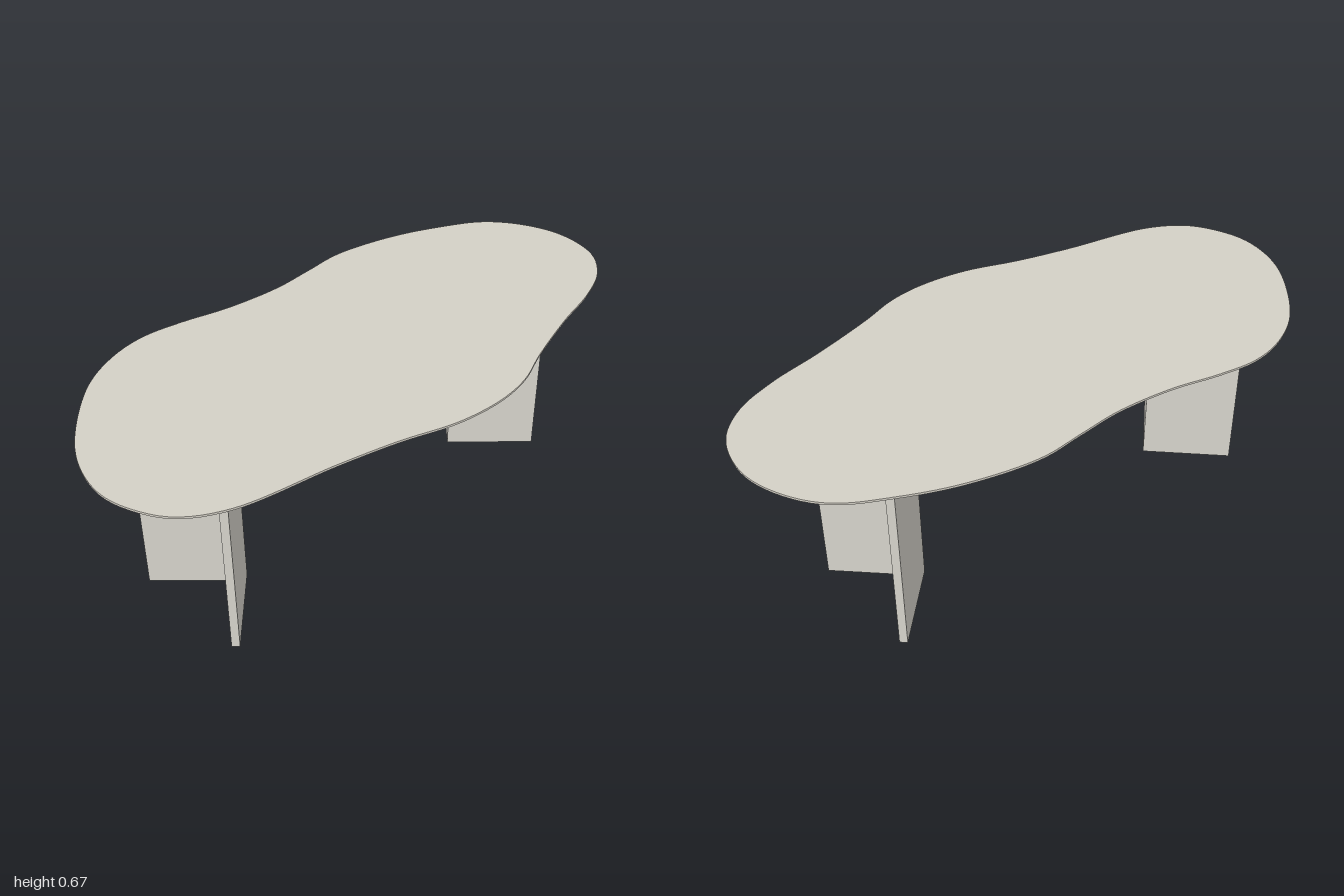
import * as THREE from 'three';

const TOP_Y = 0.665, RIM_Y = 0.658, UNDER_Y = 0.625, INSET = 0.08, STEPS = 180;

// Free-form outline of the table top as [x, z]
const OUTLINE = [
  [-1, 0.02], [-0.975, -0.1], [-0.91, -0.22], [-0.73, -0.41], [-0.585, -0.485], [-0.457, -0.508],
  [-0.32, -0.49], [-0.16, -0.452], [0.035, -0.433], [0.19, -0.444], [0.345, -0.455], [0.565, -0.41],
  [0.735, -0.34], [0.885, -0.25], [0.967, -0.13], [1, 0.01], [0.963, 0.165], [0.865, 0.265],
  [0.725, 0.325], [0.54, 0.37], [0.325, 0.435], [0.19, 0.485], [0.06, 0.502], [-0.105, 0.485],
  [-0.29, 0.425], [-0.48, 0.378], [-0.8, 0.312], [-0.925, 0.23], [-0.985, 0.115],
];

// Closed loop of [x, z] points, moved inwards by inset
function outlineLoop(inset) {
  const curve = new THREE.CatmullRomCurve3(
    OUTLINE.map(([x, z]) => new THREE.Vector3(x, 0, z)), true, 'centripetal');
  return Array.from({ length: STEPS }, (_, i) => {
    const p = curve.getPointAt(i / STEPS);
    const t = curve.getTangentAt(i / STEPS);
    return [p.x - t.z * inset, p.z + t.x * inset];
  });
}

// Smooth strip between an upper and a lower loop
function band(upper, upperY, lower, lowerY) {
  const positions = [], index = [];
  upper.forEach(([x, z], i) => {
    positions.push(x, upperY, z, lower[i][0], lowerY, lower[i][1]);
    const a = 2 * i, b = 2 * ((i + 1) % STEPS);
    index.push(a, b, a + 1, b, b + 1, a + 1);
  });
  const geometry = new THREE.BufferGeometry();
  geometry.setAttribute('position', new THREE.Float32BufferAttribute(positions, 3));
  geometry.setIndex(index);
  geometry.computeVertexNormals();
  return geometry;
}

// Flat face filling a loop, facing up (1) or down (-1)
function cap(loop, y, facing) {
  const shape = new THREE.Shape(loop.map(([x, z]) => new THREE.Vector2(x, -facing * z)));
  return new THREE.ShapeGeometry(shape).rotateX(-facing * Math.PI / 2).translate(0, y, 0);
}

// V-shaped leg of two upright panels, opening outwards on the given side
function legGeometry(side, cornerX) {
  const z0 = -0.028, arm = 0.218, t = 0.018;
  const plan = [
    [0, z0], [arm, z0 + arm], [arm + t, z0 + arm - t],
    [2 * t, z0 + 0.005],
    [arm + t, z0 - arm + t], [arm, z0 - arm],
  ];
  const shape = new THREE.Shape(plan.map(([x, z]) => new THREE.Vector2(side * (cornerX + x), -z)));
  return new THREE.ExtrudeGeometry(shape, { depth: UNDER_Y, bevelEnabled: false })
    .rotateX(-Math.PI / 2);
}

export function createModel() {
  const model = new THREE.Group();
  model.name = 'table';
  const topMaterial = new THREE.MeshStandardMaterial({ color: 0xd4d0c6 });
  topMaterial.name = 'warm stone';
  const legMaterial = new THREE.MeshStandardMaterial({ color: 0xd6d4cc });
  legMaterial.name = 'pale stone';

  const add = (parent, name, geometry, material) => {
    const mesh = new THREE.Mesh(geometry, material);
    mesh.name = name;
    parent.add(mesh);
  };

  // Table top: thin rim with a wide undercut bevel
  const top = new THREE.Group();
  top.name = 'tableTop';
  const outer = outlineLoop(0), inner = outlineLoop(INSET);
  add(top, 'topSurface', cap(outer, TOP_Y, 1), topMaterial);
  add(top, 'rim', band(outer, TOP_Y, outer, RIM_Y), topMaterial);
  add(top, 'underBevel', band(outer, RIM_Y, inner, UNDER_Y), topMaterial);
  add(top, 'underside', cap(inner, UNDER_Y, -1), topMaterial);
  model.add(top);

  // Legs
  add(model, 'leftLeg', legGeometry(1, 0.472), legMaterial);
  add(model, 'rightLeg', legGeometry(-1, 0.5), legMaterial);
  return model;
}
